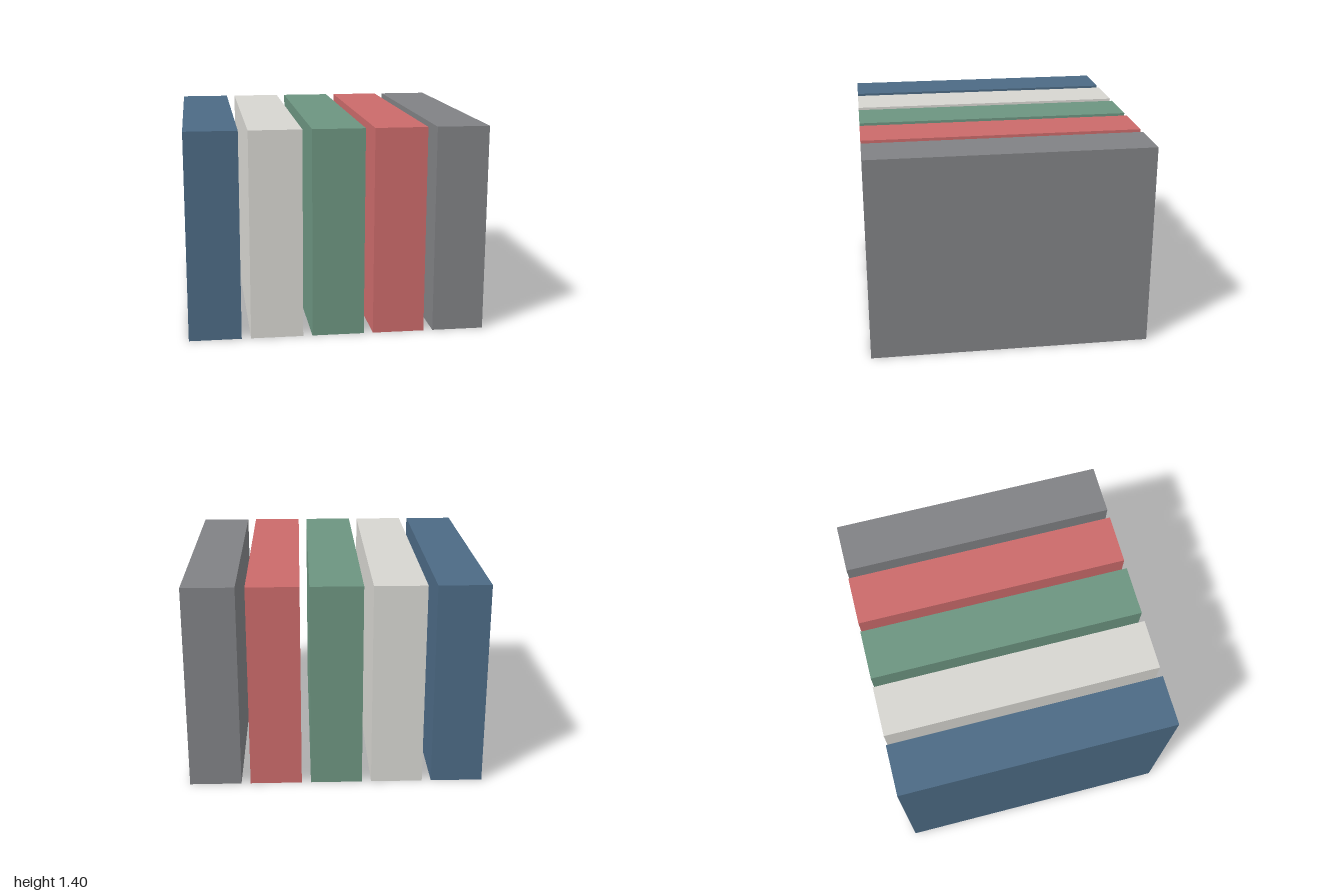
import * as THREE from 'three';

// Five equal upright slabs standing side by side with narrow gaps
const WIDTH = 0.35, HEIGHT = 1.4, DEPTH = 1.905, SPACING = 0.4125;

const SLABS = [
  ['blueSlab', 0x4c6a84],
  ['whiteSlab', 0xd6d5d0],
  ['greenSlab', 0x6c9480],
  ['redSlab', 0xca6a6a],
  ['greySlab', 0x808184],
];

export function createModel() {
  const model = new THREE.Group();
  model.name = 'slabRow';
  const geometry = new THREE.BoxGeometry(WIDTH, HEIGHT, DEPTH);

  SLABS.forEach(([name, color], i) => {
    const slab = new THREE.Mesh(geometry, new THREE.MeshStandardMaterial({ color }));
    slab.name = name;
    slab.position.set((i - (SLABS.length - 1) / 2) * SPACING, HEIGHT / 2, 0);
    model.add(slab);
  });
  return model;
}
